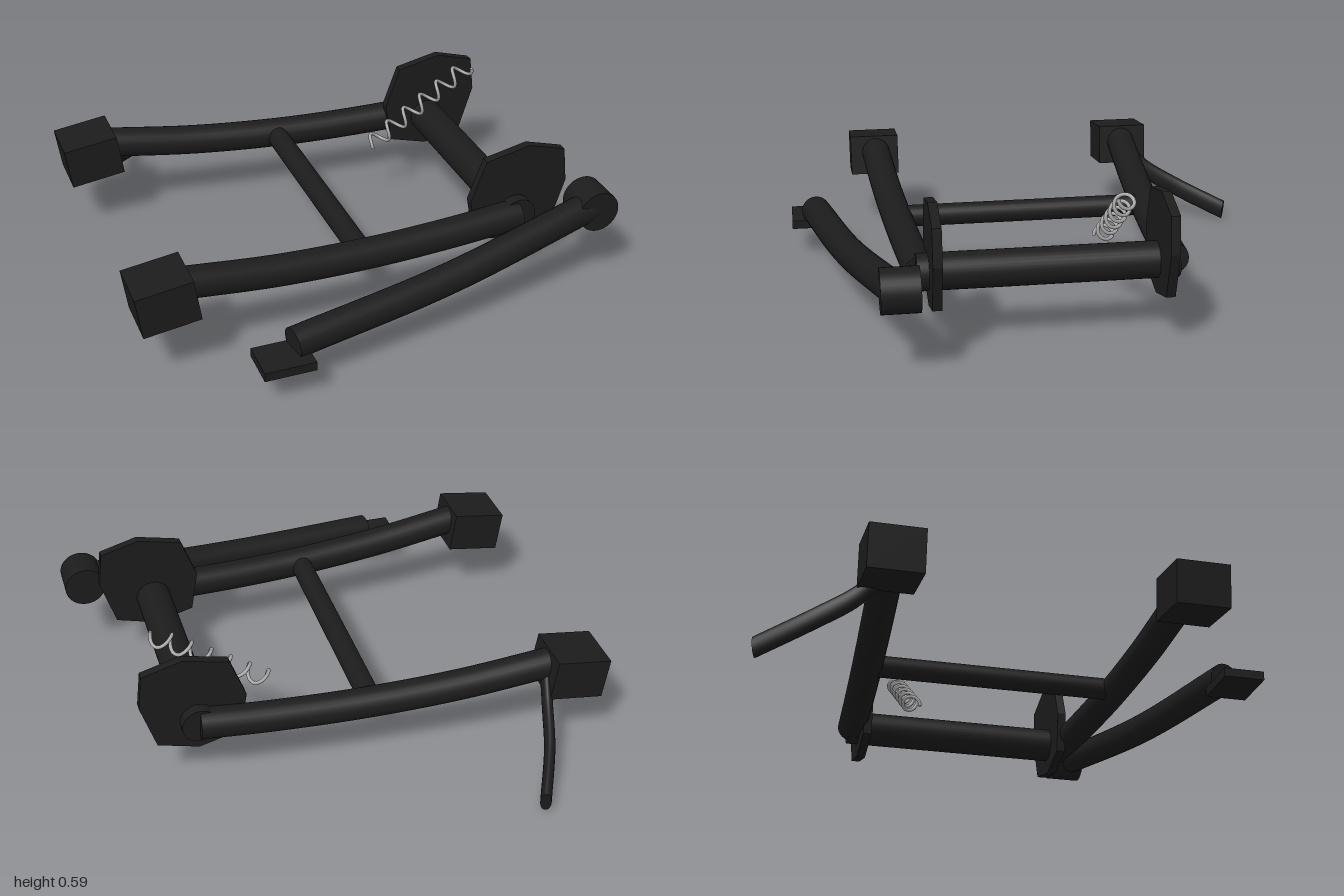
import * as THREE from 'three';
import { mergeGeometries } from 'three/addons/utils/BufferGeometryUtils.js';

const V = (x, y, z) => new THREE.Vector3(x, y, z);

// Round bar swept along a smooth curve, closed by flat discs
function cappedTube(points, radius, segments = 32, sides = 24) {
  const curve = new THREE.CatmullRomCurve3(points);
  const parts = [new THREE.TubeGeometry(curve, segments, radius, sides, false)];
  for (const t of [0, 1]) {
    const dir = curve.getTangentAt(t).multiplyScalar(t ? 1 : -1);
    const cap = new THREE.CircleGeometry(radius, sides);
    cap.applyQuaternion(new THREE.Quaternion().setFromUnitVectors(V(0, 0, 1), dir));
    const p = curve.getPointAt(t);
    cap.translate(p.x, p.y, p.z);
    parts.push(cap);
  }
  return mergeGeometries(parts);
}

export function createModel() {
  const model = new THREE.Group();
  model.name = 'centreStand';
  const black = new THREE.MeshStandardMaterial({ color: 0x1c1c1c });
  black.name = 'black paint';
  const steel = new THREE.MeshStandardMaterial({ color: 0xa8a8a8 });
  steel.name = 'spring steel';

  const add = (name, geometry, x = 0, y = 0, z = 0, material = black) => {
    const mesh = new THREE.Mesh(geometry, material);
    mesh.name = name;
    mesh.position.set(x, y, z);
    model.add(mesh);
    return mesh;
  };

  // The main frame is mirrored about this depth
  const midZ = 0.04;

  // Pivot plate outline
  const plateShape = new THREE.Shape([
    [0.435, 0.37], [0.465, 0.2], [0.63, 0.155], [0.795, 0.2],
    [0.855, 0.39], [0.838, 0.535], [0.68, 0.58], [0.497, 0.54],
  ].map(([x, y]) => new THREE.Vector2(x, y)));
  const plate = new THREE.ExtrudeGeometry(plateShape, { depth: 0.036, bevelEnabled: false });
  plate.translate(0, 0, -0.018);

  // Legs, feet and pivot plates on both sides
  for (const [side, s] of [['left', 1], ['right', -1]]) {
    add(side + 'Leg', cappedTube([
      V(-0.8, 0.352, midZ + s * 0.57), V(-0.4, 0.302, midZ + s * 0.547),
      V(0, 0.279, midZ + s * 0.522), V(0.35, 0.28, midZ + s * 0.5),
      V(0.63, 0.292, midZ + s * 0.482),
    ], 0.062));
    add(side + 'Foot', new THREE.BoxGeometry(0.226, 0.172, 0.212), -0.868, 0.32, midZ + s * 0.574)
      .rotation.z = 0.142;
    add(side + 'PivotPlate', plate, 0, 0, midZ + s * 0.437);
  }

  // Cross members
  const pivotTube = new THREE.CylinderGeometry(0.072, 0.072, 1, 32).rotateX(Math.PI / 2);
  add('pivotTube', pivotTube, 0.63, 0.292, midZ);
  const brace = new THREE.CylinderGeometry(0.045, 0.045, 0.96, 24).rotateX(Math.PI / 2);
  add('crossBrace', brace, -0.05, 0.28, midZ);

  // Side stand with its pivot and ground pad
  add('sideStandLeg', cappedTube([
    V(-0.455, 0.187, 0.892), V(0.22, 0.237, 0.775), V(0.905, 0.335, 0.63),
  ], 0.061));
  const hub = new THREE.CylinderGeometry(0.085, 0.085, 0.145, 32).rotateX(Math.PI / 2);
  add('sideStandPivot', hub, 0.906, 0.335, 0.618);
  add('sideStandPad', new THREE.BoxGeometry(0.2, 0.036, 0.164), -0.5, 0.142, 0.914);

  // Foot lever: a round bar stretched vertically into an oval section
  const stretch = 2;
  const lever = cappedTube([
    V(-0.755, 0.3, -0.56), V(-0.735, 0.22, -0.64),
    V(-0.69, 0.135, -0.785), V(-0.597, 0.043, -0.985),
  ].map((p) => V(p.x, p.y / stretch, p.z)), 0.022);
  add('footLever', lever.scale(1, stretch, 1));

  // Return spring, coiled along a sloping axis
  const from = V(0.3, 0.28, -0.232), to = V(0.755, 0.585, -0.232);
  const axis = to.clone().sub(from).normalize();
  const up = V(-axis.y, axis.x, 0);
  const turns = 6, coil = [];
  for (let i = 0; i <= turns * 16; i++) {
    const a = (i / 16) * Math.PI * 2;
    coil.push(from.clone().lerp(to, i / (turns * 16))
      .addScaledVector(up, Math.sin(a) * 0.034)
      .add(V(0, 0, Math.cos(a) * 0.034)));
  }
  add('returnSpring', cappedTube(coil, 0.0075, 240, 8), 0, 0, 0, steel);

  return model;
}
